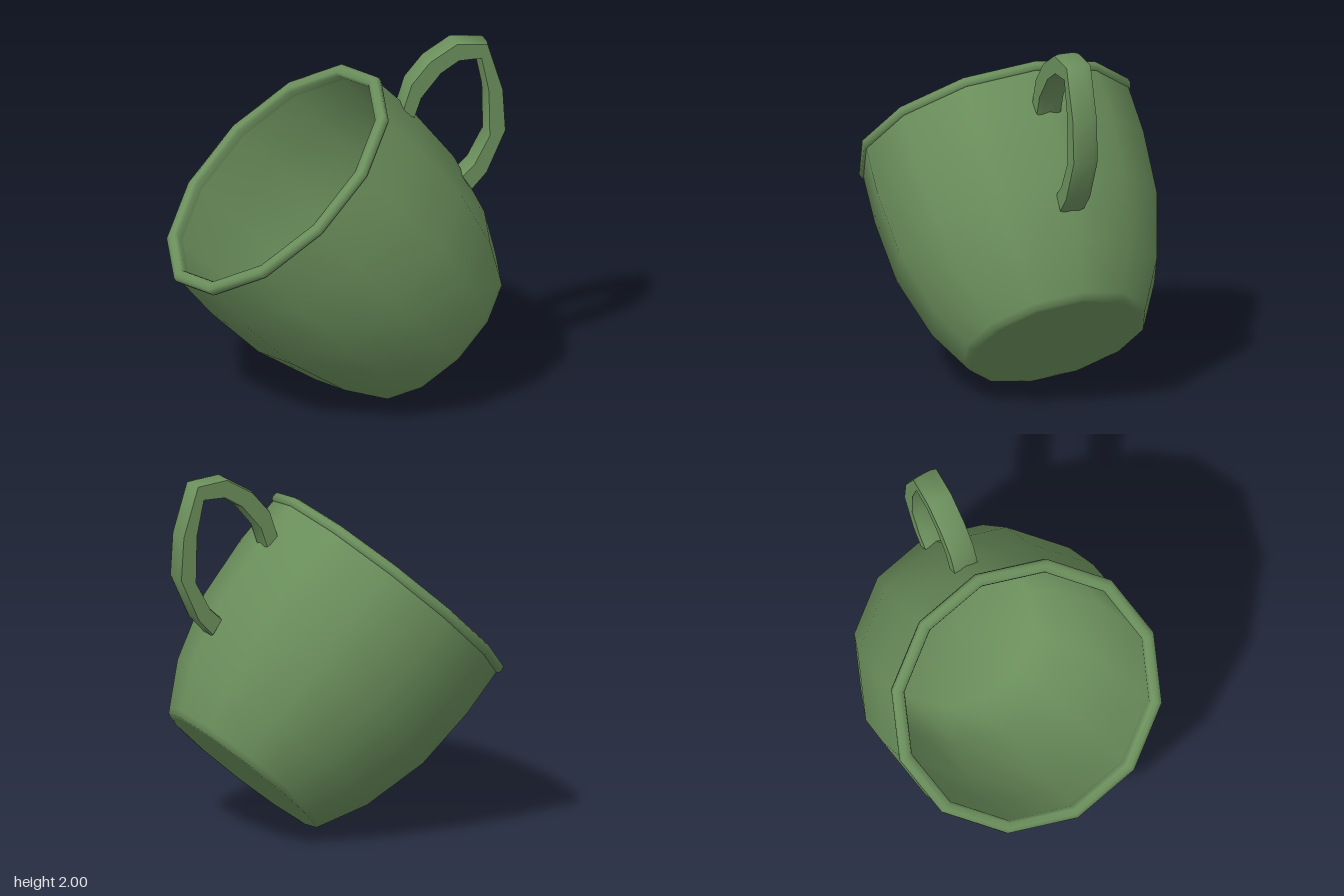
import * as THREE from 'three';
import { toCreasedNormals } from 'three/addons/utils/BufferGeometryUtils.js';

const points = (list) => list.map(([x, y]) => new THREE.Vector2(x, y));

export function createModel() {
  const model = new THREE.Group();
  model.name = 'tiltedCup';
  const material = new THREE.MeshStandardMaterial({ color: 0x6b8f5c });

  // Cup: twelve-sided turned parts sharing one tilted axis
  const cup = new THREE.Group();
  cup.name = 'cup';
  cup.position.set(0.52, 0.345, 0);
  cup.rotation.z = THREE.MathUtils.degToRad(42.3);
  model.add(cup);

  const turn = (name, profile) => {
    const mesh = new THREE.Mesh(new THREE.LatheGeometry(points(profile), 12), material);
    mesh.name = name;
    cup.add(mesh);
  };

  // Base and outer wall, with a narrow softened foot edge
  turn('outerWall', [
    [0, -0.006], [0.47, -0.006], [0.503, -0.004], [0.522, 0.03],
    [0.645, 0.26], [0.747, 0.625], [0.771, 0.99], [0.76, 1.26],
  ]);
  // Rounded lip
  turn('rim', [
    [0.757, 1.257], [0.772, 1.263], [0.778, 1.285], [0.771, 1.308],
    [0.745, 1.316], [0.715, 1.31], [0.704, 1.29], [0.71, 1.25],
  ]);
  // Inner wall and floor
  turn('innerWall', [
    [0.71, 1.25], [0.707, 0.99], [0.685, 0.635], [0.585, 0.3], [0.45, 0.075], [0, 0.06],
  ]);

  // Handle: a faceted loop with faintly rounded faces, both ends set into the wall
  const outer = [
    [0.335, 1.63], [0.345, 1.67], [0.385, 1.79], [0.49, 1.91], [0.645, 2.0],
    [0.825, 1.98], [0.912, 1.7], [0.927, 1.46], [0.82, 1.225], [0.73, 1.13],
  ];
  const inner = [
    [0.67, 1.22], [0.74, 1.285], [0.825, 1.44], [0.82, 1.7], [0.78, 1.89],
    [0.66, 1.89], [0.56, 1.83], [0.45, 1.7], [0.41, 1.585],
  ];
  const width = 0.14;
  const bevel = 0.03;
  const loop = new THREE.ExtrudeGeometry(new THREE.Shape(points([...outer, ...inner])), {
    depth: width - 2 * bevel,
    bevelThickness: bevel,
    bevelSize: 0.007,
    bevelOffset: -0.007,
    bevelSegments: 1,
  });
  loop.translate(0, 0, bevel - width / 2);
  const handle = new THREE.Mesh(toCreasedNormals(loop, 1.25), material);
  handle.name = 'handle';
  model.add(handle);

  return model;
}
